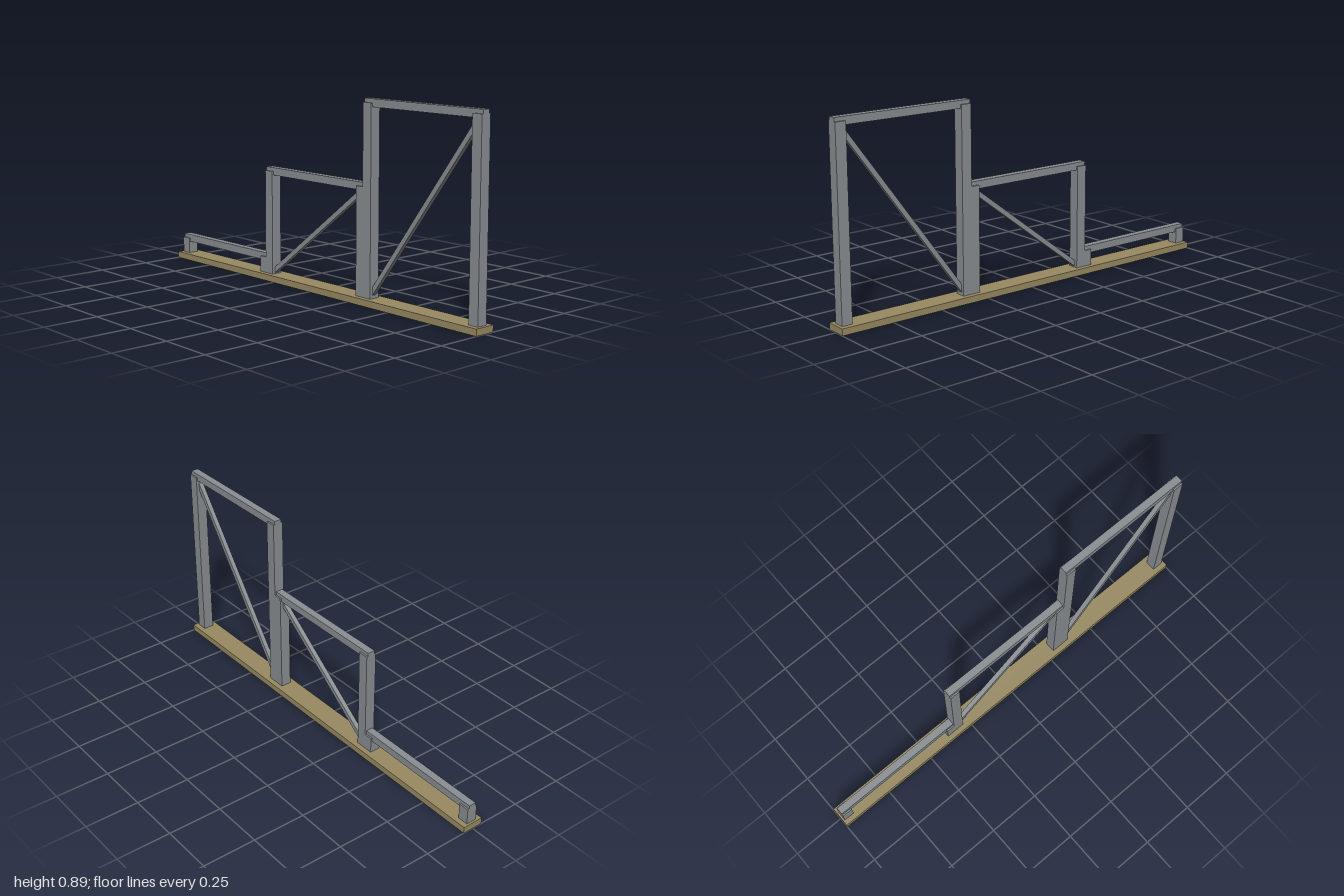
import * as THREE from 'three';

const steel = new THREE.MeshStandardMaterial({ color: 0x8a8f93 });
steel.name = 'grey steel';
const timber = new THREE.MeshStandardMaterial({ color: 0x988a62 });
timber.name = 'tan timber';

function box(name, material, w, h, d, x, y, z = 0) {
  const mesh = new THREE.Mesh(new THREE.BoxGeometry(w, h, d), material);
  mesh.name = name;
  mesh.position.set(x, y, z);
  return mesh;
}

const BASE_H = 0.03, POST = 0.05, RAIL = 0.035, SPAN = 0.665;

// One frame: two posts, a top rail and an optional diagonal brace
function frame(name, centerX, railY, braced) {
  const group = new THREE.Group();
  group.name = name;
  group.position.x = centerX;
  const offset = (SPAN - POST) / 2;
  const postH = railY - BASE_H;
  for (const [side, s] of [['right', -1], ['left', 1]]) {
    group.add(box(side + 'Post', steel, POST, postH, POST, s * offset, BASE_H + postH / 2));
  }
  group.add(box('topRail', steel, SPAN, RAIL, RAIL, 0, railY));
  if (braced) {
    // Brace runs from the foot of one post to the head of the other
    const rise = railY - RAIL / 2 - BASE_H;
    const run = 2 * offset;
    const trim = 0.03; // keeps the ends buried inside the posts
    const brace = box('brace', steel, Math.hypot(run, rise) - trim, 0.022, 0.022, 0, BASE_H + rise / 2);
    brace.rotation.z = Math.atan2(rise, run);
    group.add(brace);
  }
  return group;
}

export function createModel() {
  const model = new THREE.Group();
  model.name = 'steppedBarFrame';
  model.add(box('basePlank', timber, 2, BASE_H, 0.1, 0, BASE_H / 2));
  model.add(frame('lowFrame', -0.6575, 0.104, false));
  model.add(frame('middleFrame', -0.0025, 0.513, true));
  model.add(frame('highFrame', 0.6525, 0.874, true));
  return model;
}
